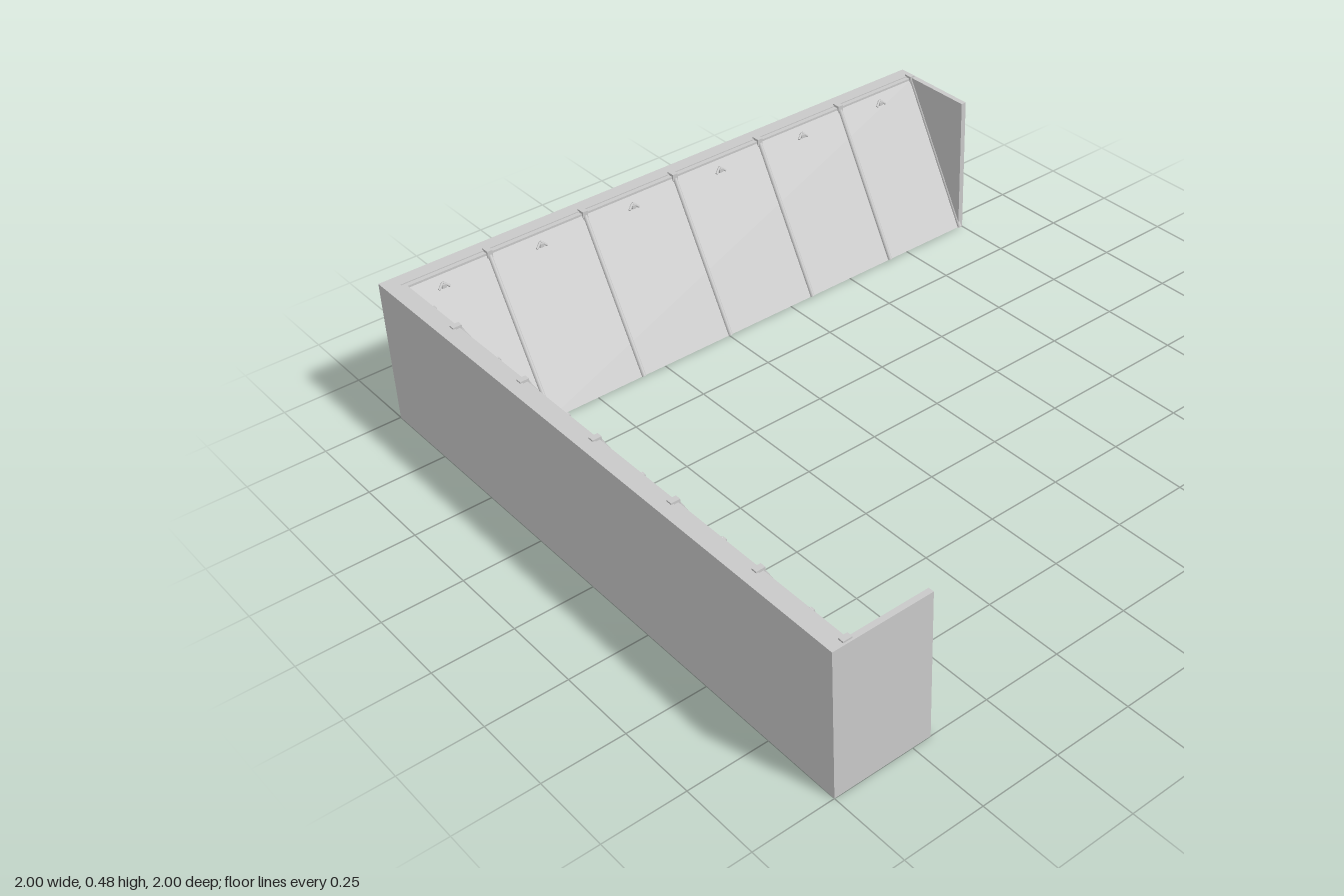
import * as THREE from 'three';

export function createModel() {
  const model = new THREE.Group();
  model.name = 'cornerCanopy';
  const grey = new THREE.MeshStandardMaterial({ color: 0xc8c8c8 });
  grey.name = 'light grey';
  const sheetGrey = grey.clone();
  sheetGrey.name = 'light grey sheet';
  sheetGrey.side = THREE.DoubleSide;

  // One arm runs along u with its back at w = -1; the other swaps x and z.
  function buildArm(name, swap) {
    const arm = new THREE.Group();
    arm.name = name;
    model.add(arm);
    const at = (u, y, w) => (swap ? new THREE.Vector3(w, y, u) : new THREE.Vector3(u, y, w));

    const add = (part, geometry, material = grey) => {
      const mesh = new THREE.Mesh(geometry, material);
      mesh.name = part;
      arm.add(mesh);
      return mesh;
    };
    const box = (part, u0, u1, y0, y1, w0, w1) => {
      const size = at(u1 - u0, y1 - y0, w1 - w0);
      add(part, new THREE.BoxGeometry(size.x, size.y, size.z))
        .position.copy(at((u0 + u1) / 2, (y0 + y1) / 2, (w0 + w1) / 2));
    };
    const rod = (part, a, b, radius) => {
      const p = at(...a), q = at(...b);
      const mesh = add(part, new THREE.CylinderGeometry(radius, radius, p.distanceTo(q), 8));
      mesh.position.addVectors(p, q).multiplyScalar(0.5);
      mesh.quaternion.setFromUnitVectors(new THREE.Vector3(0, 1, 0), q.sub(p).normalize());
    };

    // Back wall, top lip and square end cap
    box('backWall', swap ? -0.955 : -1, 1, 0, 0.475, -1, -0.955);
    box('topLip', -0.955, 0.985, 0.458, 0.472, -0.955, -0.94);
    box('endCap', 0.982, 1, 0, 0.475, -0.955, -0.69);

    // Sloping sheet, mitred where the arms meet
    const corners = [
      at(-0.69, 0.004, -0.69), at(0.982, 0.004, -0.69),
      at(0.982, 0.465, -0.94), at(-0.94, 0.465, -0.94),
    ];
    const sheet = new THREE.BufferGeometry().setFromPoints(corners);
    sheet.setIndex(swap ? [0, 2, 1, 0, 3, 2] : [0, 1, 2, 0, 2, 3]);
    sheet.computeVertexNormals();
    add('slopingSheet', sheet, sheetGrey);

    // Ribs: a sloping rod, an upright on the wall and a clip over the lip
    for (let i = 0; i < 6; i++) {
      const u = i < 5 ? -0.67 + i * 0.335 : 0.985;
      rod('slopingRib', [u, 0.006, -0.687], [u, 0.465, -0.937], 0.007);
      rod('uprightRib', [u, 0.005, -0.95], [u, 0.465, -0.95], 0.007);
      box('ribClip', u - 0.009, u + 0.009, 0.455, 0.48, -0.962, -0.934);
    }

    // Small peaked hooks near the top of each bay
    for (let i = 0; i < 6; i++) {
      const u = -0.838 + i * 0.334;
      for (const side of [-1, 1]) {
        rod('hook', [u + side * 0.018, 0.432, -0.918], [u, 0.447, -0.926], 0.004);
      }
      box('hookBase', u - 0.007, u + 0.007, 0.432, 0.444, -0.932, -0.916);
    }
  }

  buildArm('backArm', false);
  buildArm('sideArm', true);
  return model;
}
